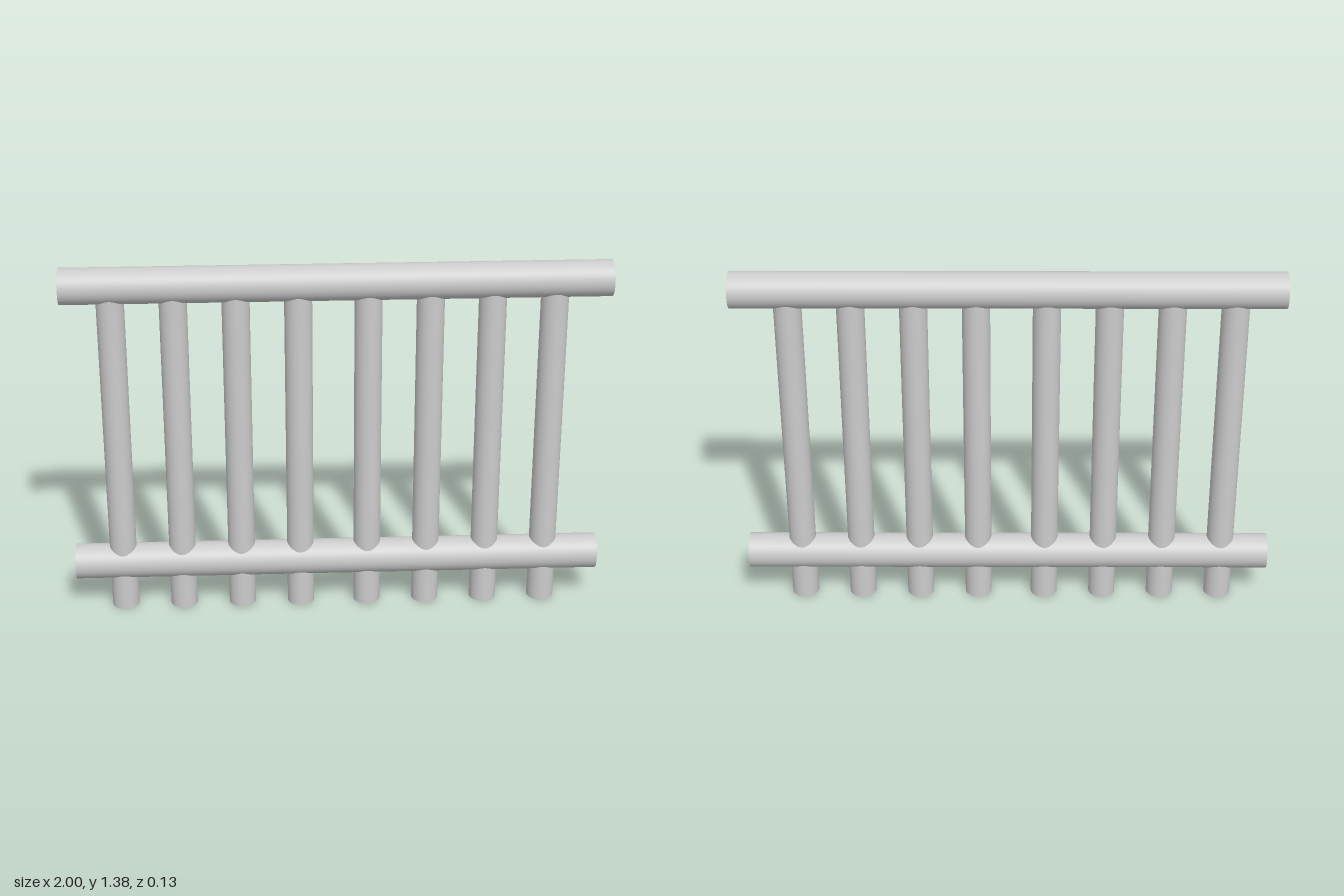
import * as THREE from 'three';

export function createModel() {
  const model = new THREE.Group();
  model.name = 'railing';
  const material = new THREE.MeshStandardMaterial({ color: 0xcccccc });

  // Two round horizontal rails
  const railGeometry = new THREE.CylinderGeometry(0.067, 0.067, 2, 48).rotateZ(Math.PI / 2);
  const addRail = (name, y) => {
    const rail = new THREE.Mesh(railGeometry, material);
    rail.name = name;
    rail.position.y = y;
    model.add(rail);
  };
  addRail('topRail', 1.317);
  addRail('bottomRail', 0.189);

  // Two groups of four balusters, with a wider gap between the groups
  const height = 1.317;
  const balusterGeometry = new THREE.CylinderGeometry(0.051, 0.051, height, 48);
  const spacing = 0.2265;
  for (const [side, start] of [['right', -0.82], ['left', 0.115]]) {
    for (let i = 0; i < 4; i++) {
      const baluster = new THREE.Mesh(balusterGeometry, material);
      baluster.name = `${side}Baluster${i + 1}`;
      baluster.position.set(start + i * spacing, height / 2, 0);
      model.add(baluster);
    }
  }
  return model;
}
